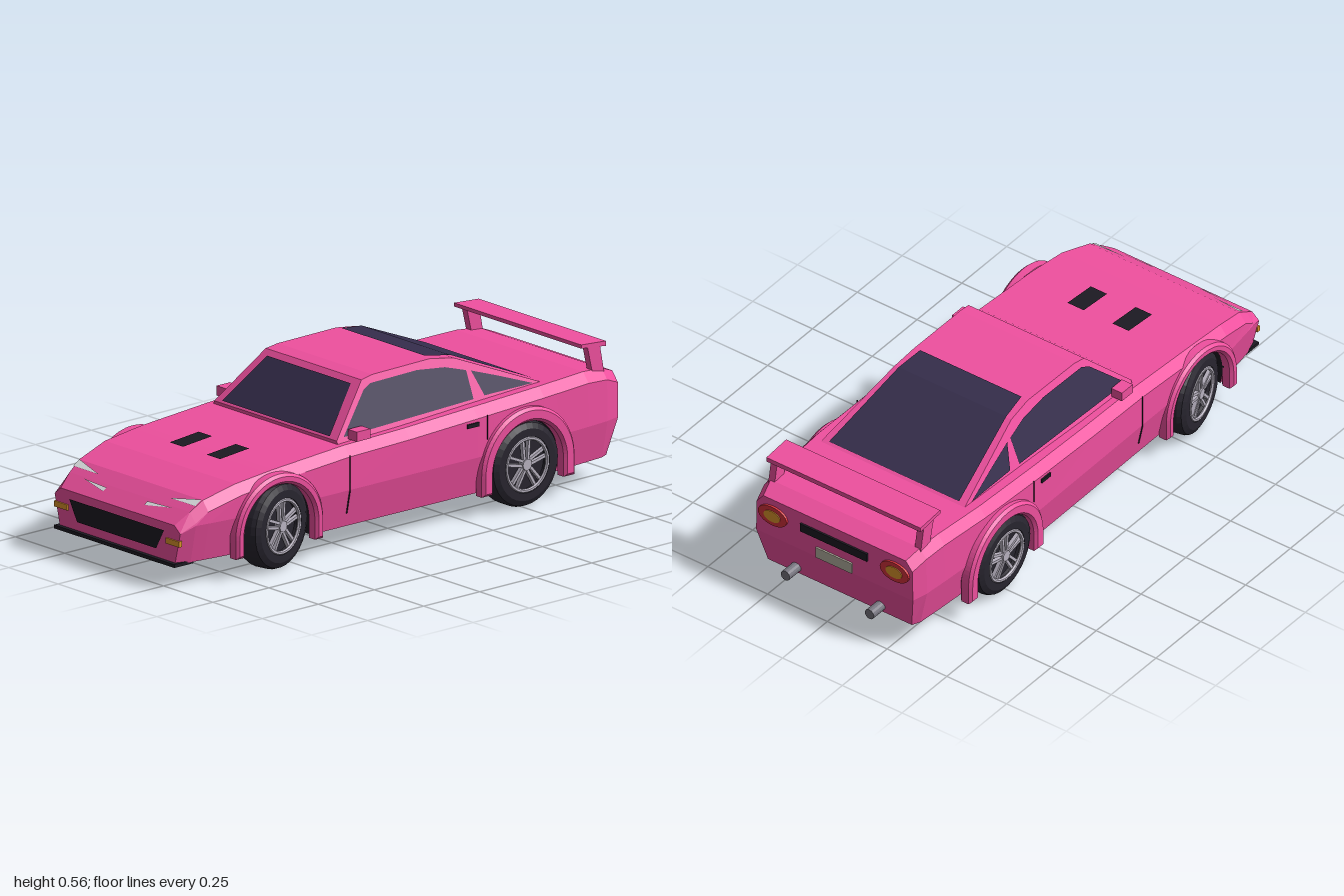
import * as THREE from 'three';

const mat = (color, extra = {}) => new THREE.MeshStandardMaterial({ color, flatShading: true, ...extra });
const PINK = mat(0xf0509f), BLACK = mat(0x1c1a22, { side: THREE.DoubleSide });
const GLASS = mat(0x352d4c, { side: THREE.DoubleSide }), TYRE = mat(0x28252f), RIM = mat(0xb8b2c0);
const LAMP = mat(0xe4e8ea, { side: THREE.DoubleSide }), ORANGE = mat(0xe0962c, { side: THREE.DoubleSide });
const RED = mat(0xd8323c), METAL = mat(0x77757f), PLATE = mat(0xb9b4a4);

// Body stations: z, half width, deck height
const STATIONS = [
  [0.985, 0.318, 0.217], [0.93, 0.335, 0.257], [0.88, 0.343, 0.29], [0.75, 0.36, 0.325], [0.59, 0.365, 0.343],
  [0.27, 0.366, 0.365], [0, 0.368, 0.372], [-0.3, 0.37, 0.385], [-0.6, 0.365, 0.396], [-0.81, 0.35, 0.401],
  [-0.9, 0.342, 0.394], [-0.96, 0.328, 0.37],
];
const AXLES = [0.583, -0.508], WELL = 0.165, AXLE_Y = 0.148, FLOOR = 0.082;

function station(z) {
  let i = 0;
  while (i < STATIONS.length - 2 && z < STATIONS[i + 1][0]) i++;
  const a = STATIONS[i], b = STATIONS[i + 1], t = (a[0] - z) / (a[0] - b[0]);
  return { w: a[1] + (b[1] - a[1]) * t, top: a[2] + (b[2] - a[2]) * t };
}
const sideX = (y, w) => w - 0.027 * Math.max(0, (0.215 - y) / (0.215 - FLOOR));
const cabinX = (y) => 0.31 - (y - 0.375) * 0.41;

function add(group, name, geometry, material, x = 0, y = 0, z = 0) {
  const m = new THREE.Mesh(geometry, material);
  m.name = name;
  m.position.set(x, y, z);
  group.add(m);
  return m;
}
const box = (x, y, z) => new THREE.BoxGeometry(x, y, z);

function triangles(positions) {
  const g = new THREE.BufferGeometry();
  g.setAttribute('position', new THREE.Float32BufferAttribute(positions, 3));
  g.computeVertexNormals();
  return g;
}
// Convex flat panel from corner points
function patch(points) {
  const p = [];
  for (let i = 1; i < points.length - 1; i++) p.push(...points[0], ...points[i], ...points[i + 1]);
  return triangles(p);
}
// Extrude a (z, y) outline sideways, centred on x = 0
function sideExtrude(shape, depth, options = {}) {
  const g = new THREE.ExtrudeGeometry(shape, { depth, bevelEnabled: false, curveSegments: 20, ...options });
  return g.rotateY(-Math.PI / 2).translate(depth / 2, 0, 0);
}
const outline = (pts) => new THREE.Shape(pts.map((p) => new THREE.Vector2(...p)));

// Lower body: lofted sections whose floor rises over the wheels
function buildBody(car) {
  const cuts = STATIONS.map((s) => [s[0], FLOOR]).filter(([z]) => AXLES.every((c) => Math.abs(z - c) > WELL));
  for (const c of AXLES) {
    cuts.push([c + WELL + 1e-4, FLOOR], [c - WELL - 1e-4, FLOOR]);
    for (let i = 0; i <= 16; i++) {
      const a = (i / 16) * Math.PI;
      cuts.push([c + WELL * Math.cos(a), AXLE_Y + WELL * Math.sin(a)]);
    }
  }
  cuts.sort((a, b) => b[0] - a[0]);
  const rings = cuts.map(([z, floor]) => {
    const { w, top } = station(z);
    const waist = Math.max(floor, Math.min(0.215, top - 0.025));
    const right = [
      [sideX(floor, w), floor, z < -0.95 ? z + 0.03 : z],
      [w, waist, z],
      [w - 0.002, Math.max(waist + 0.002, top - 0.035), z],
      [w - 0.03, top, z],
    ];
    return [...right, ...right.map(([x, y, q]) => [-x, y, q]).reverse()];
  });
  const paint = [], wells = [];
  const quad = (out, a, b, c, d) => out.push(...a, ...b, ...c, ...a, ...c, ...d);
  for (let i = 0; i < rings.length - 1; i++) {
    const a = rings[i], b = rings[i + 1];
    const inWell = cuts[i][1] > FLOOR || cuts[i + 1][1] > FLOOR;
    for (let j = 0; j < 8; j++) {
      const k = (j + 1) % 8;
      quad(j === 7 && inWell ? wells : paint, a[j], b[j], b[k], a[k]);
    }
  }
  const f = rings[0], r = rings[rings.length - 1];
  for (let j = 0; j < 3; j++) {
    quad(paint, f[j], f[j + 1], f[6 - j], f[7 - j]);
    quad(paint, r[7 - j], r[6 - j], r[j + 1], r[j]);
  }
  add(car, 'body', triangles(paint), PINK);
  add(car, 'wheelWells', triangles(wells), BLACK);
}

// Cabin: side profile leaned inward with height, then glazed
function buildCabin(car) {
  const g = sideExtrude(outline([[0.28, 0.345], [0.28, 0.375], [0.11, 0.54], [0.06, 0.548], [-0.2, 0.551],
    [-0.3, 0.535], [-0.64, 0.395], [-0.64, 0.345]]), 2);
  const p = g.attributes.position;
  for (let i = 0; i < p.count; i++) p.setX(i, Math.sign(p.getX(i)) * cabinX(p.getY(i)));
  g.computeVertexNormals();
  add(car, 'cabin', g, PINK);
  const pane = (name, [w1, y1, z1], [w2, y2, z2]) =>
    add(car, name, patch([[-w1, y1, z1], [w1, y1, z1], [w2, y2, z2], [-w2, y2, z2]]), GLASS);
  pane('windshield', [0.272, 0.383, 0.278], [0.212, 0.525, 0.131]);
  pane('rearWindowTop', [0.212, 0.555, -0.2], [0.225, 0.54, -0.302]);
  pane('rearWindow', [0.225, 0.54, -0.302], [0.272, 0.405, -0.628]);
  for (const s of [1, -1]) {
    const side = (pts) => patch(pts.map(([z, y]) => [s * (cabinX(y) + 0.004), y, z]));
    add(car, 'doorWindow', side([[0.25, 0.383], [0.115, 0.51], [0.08, 0.525], [-0.13, 0.528], [-0.25, 0.515],
      [-0.335, 0.49], [-0.335, 0.397]]), GLASS);
    add(car, 'quarterWindow', side([[-0.385, 0.4], [-0.355, 0.485], [-0.46, 0.45], [-0.6, 0.4]]), GLASS);
  }
}

function buildWheel(steer, side) {
  const wheel = new THREE.Group();
  wheel.name = 'wheel';
  const profile = [[0, -0.05], [0.12, -0.05], [0.144, -0.04], [0.15, -0.025], [0.15, 0.025], [0.144, 0.04],
    [0.125, 0.05], [0.098, 0.05], [0.092, 0.026], [0, 0.026]].map((q) => new THREE.Vector2(...q));
  add(wheel, 'tyre', new THREE.LatheGeometry(profile, 32).rotateZ(-Math.PI / 2), TYRE);
  add(wheel, 'rim', new THREE.TorusGeometry(0.091, 0.007, 6, 32).rotateY(Math.PI / 2), RIM, 0.046);
  add(wheel, 'hub', new THREE.CylinderGeometry(0.02, 0.02, 0.026, 12).rotateZ(-Math.PI / 2), RIM, 0.037);
  for (let i = 0; i < 5; i++) for (const d of [-1, 1]) {
    const spoke = box(0.014, 0.078, 0.01).rotateX(d * 0.09).translate(0, 0.052, d * 0.011);
    add(wheel, 'spoke', spoke.rotateX((i / 5) * Math.PI * 2), RIM, 0.038);
  }
  wheel.rotation.y = steer + (side < 0 ? Math.PI : 0);
  return wheel;
}

function buildFlare(c, R, r) {
  const s = new THREE.Shape();
  s.moveTo(c + R, 0.075);
  s.lineTo(c + R, 0.142);
  s.absarc(c, 0.142, R, 0, Math.PI, false);
  s.lineTo(c - R, 0.075);
  s.lineTo(c - r, 0.075);
  s.lineTo(c - r, 0.142);
  s.absarc(c, 0.142, r, Math.PI, 0, true);
  s.lineTo(c + r, 0.075);
  return sideExtrude(s, 0.03, { bevelEnabled: true, bevelThickness: 0.01, bevelSize: 0.01, bevelOffset: -0.01, bevelSegments: 1 });
}

function buildSides(car) {
  for (const s of [1, -1]) {
    AXLES.forEach((z, i) => {
      const wheel = buildWheel(i ? 0 : 0.2, s);
      wheel.position.set(s * (i ? 0.332 : 0.325), 0.15, z);
      car.add(wheel);
      add(car, 'wheelArch', i ? buildFlare(z - 0.004, 0.207, 0.158) : buildFlare(z + 0.007, 0.195, 0.158), PINK, s * (i ? 0.365 : 0.357));
    });
    // Door gaps and handle
    const seam = (pts) => {
      const path = new THREE.CurvePath();
      const v = pts.map(([z, y]) => new THREE.Vector3(s * sideX(y, station(z).w), y, z));
      for (let i = 1; i < v.length; i++) path.add(new THREE.LineCurve3(v[i - 1], v[i]));
      add(car, 'doorGap', new THREE.TubeGeometry(path, 16, 0.003, 4), BLACK);
    };
    seam([[0.27, 0.335], [0.27, 0.215], [0.27, 0.13]]);
    seam([[-0.34, 0.355], [-0.34, 0.27]]);
    add(car, 'doorHandle', box(0.01, 0.014, 0.05), BLACK, s * 0.369, 0.332, -0.275);
    add(car, 'mirror', box(0.045, 0.034, 0.06), PINK, s * 0.333, 0.39, 0.2);
    add(car, 'mirrorMount', box(0.03, 0.03, 0.03), PINK, s * 0.315, 0.37, 0.2);
  }
}

function buildFront(car) {
  const onHood = (pts, s, lift = 0.004) => patch(pts.map(([x, z]) => [s * x, station(z).top + lift, z]));
  const front = 0.989;
  add(car, 'grille', patch([[-0.2, 0.118, front], [0.2, 0.118, front], [0.24, 0.19, front], [-0.24, 0.19, front]]), BLACK);
  add(car, 'frontLip', box(0.61, 0.012, 0.085), BLACK, 0, 0.081, 0.9575);
  for (const s of [1, -1]) {
    add(car, 'headlight', onHood([[0.309, 0.883], [0.309, 0.91], [0.181, 0.91]], s), LAMP);
    add(car, 'lowerHeadlight', onHood([[0.103, 0.943], [0.226, 0.938], [0.105, 0.957]], s), LAMP);
    add(car, 'hoodVent', onHood([[0.06, 0.51], [0.128, 0.51], [0.128, 0.64], [0.06, 0.64]], s, 0.006), BLACK);
    add(car, 'indicator', box(0.068, 0.02, 0.014), ORANGE, s * 0.283, 0.157, 0.983);
  }
}

function buildRear(car) {
  add(car, 'rearBar', box(0.28, 0.032, 0.012), BLACK, 0, 0.313, -0.961);
  add(car, 'plate', box(0.15, 0.042, 0.01), PLATE, 0, 0.237, -0.961);
  const disc = (r) => new THREE.CylinderGeometry(r, r, 0.014, 28).rotateX(Math.PI / 2).scale(1, 0.64, 1);
  for (const s of [1, -1]) {
    add(car, 'tailLamp', disc(0.06), RED, s * 0.255, 0.307, -0.961);
    add(car, 'tailLampCentre', disc(0.034), ORANGE, s * 0.255, 0.307, -0.964);
    add(car, 'exhaust', new THREE.CylinderGeometry(0.019, 0.019, 0.09, 14).rotateX(Math.PI / 2), METAL, s * 0.176, 0.112, -0.955);
    add(car, 'wingPost', sideExtrude(outline([[-0.83, 0.485], [-0.885, 0.485], [-0.905, 0.38], [-0.855, 0.38]]), 0.026),
      PINK, s * 0.306);
  }
  add(car, 'wing', sideExtrude(outline([[-0.8, 0.497], [-0.8, 0.484], [-0.91, 0.472], [-0.91, 0.489]]), 0.645), PINK);
}

export function createModel() {
  const car = new THREE.Group();
  car.name = 'sportsCar';
  for (const build of [buildBody, buildCabin, buildSides, buildFront, buildRear]) build(car);
  return car;
}
